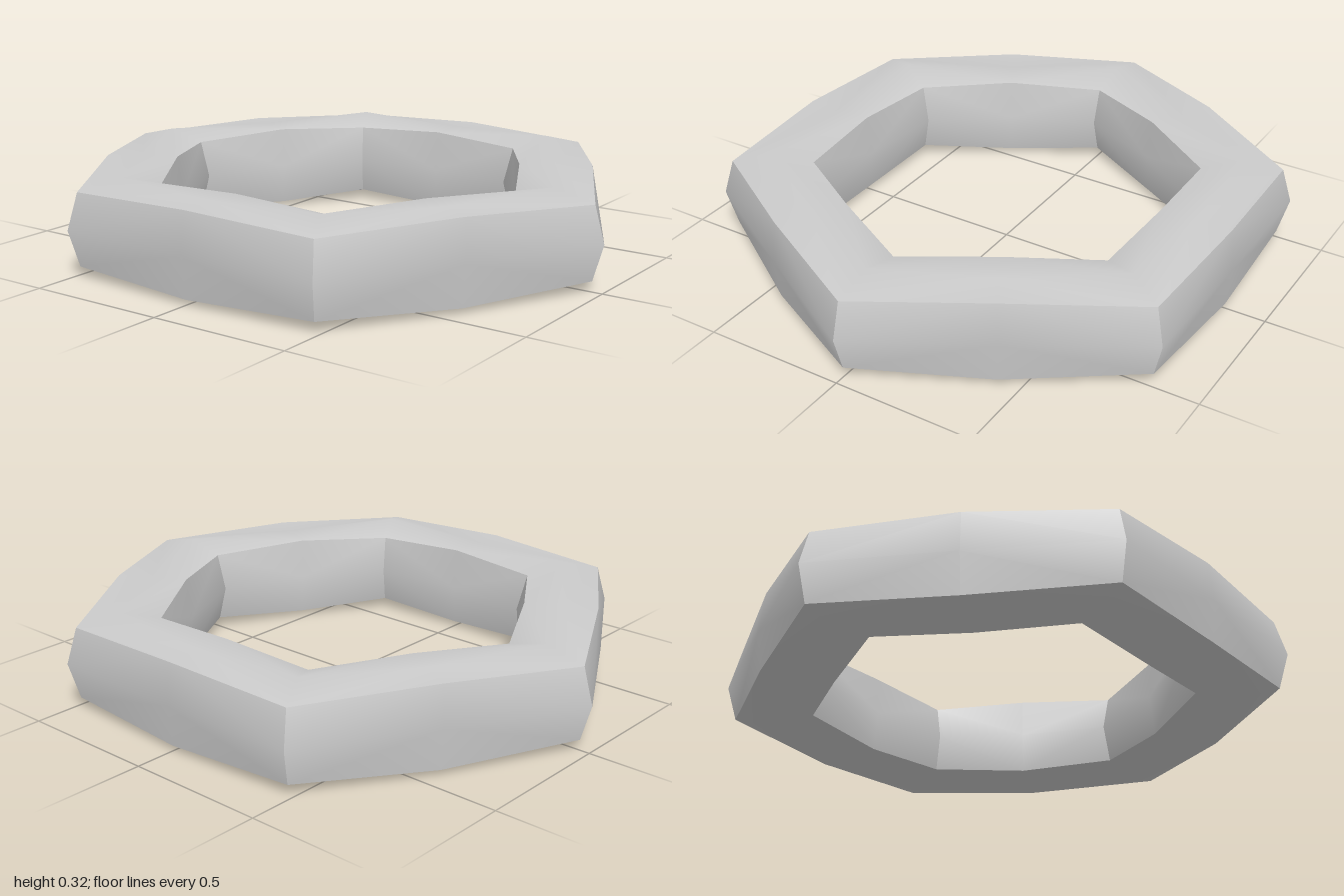
import * as THREE from 'three';
import { toCreasedNormals } from 'three/addons/utils/BufferGeometryUtils.js';

const MID_Y = 0.162;

// Eight-sided tube section as [radius, height], built from its flat and diagonal half sizes.
function section(centre, wide, tall, diagWide, diagTall) {
  return [
    [wide, 0], [diagWide, diagTall], [0, tall], [-diagWide, diagTall],
    [-wide, 0], [-diagWide, -diagTall], [0, -tall], [diagWide, -diagTall],
  ].map(([r, y]) => [centre + r, MID_Y + y]);
}

// The ring alternates between six corner sections and six mid-side sections.
function ringGeometry() {
  const corner = section(0.82, 0.18, 0.162, 0.143, 0.126);
  const midSide = section(0.73, 0.142, 0.146, 0.126, 0.144);
  const stations = 12, sides = 8;
  const positions = [], indices = [];
  for (let i = 0; i < stations; i++) {
    const a = (i / stations) * Math.PI * 2;
    for (const [r, y] of i % 2 ? midSide : corner) {
      positions.push(r * Math.cos(a), y, r * Math.sin(a));
    }
    for (let j = 0; j < sides; j++) {
      const next = ((i + 1) % stations) * sides, k = (j + 1) % sides;
      const p = i * sides + j, q = i * sides + k, r = next + j, s = next + k;
      // Mirror the diagonals on alternate spans so the corners stay symmetric.
      if (i % 2) indices.push(p, q, r, q, s, r);
      else indices.push(p, q, s, p, s, r);
    }
  }
  const geometry = new THREE.BufferGeometry();
  geometry.setAttribute('position', new THREE.Float32BufferAttribute(positions, 3));
  geometry.setIndex(indices);
  return toCreasedNormals(geometry, 0.78);
}

export function createModel() {
  const group = new THREE.Group();
  group.name = 'hexagonalRing';
  const ring = new THREE.Mesh(ringGeometry(), new THREE.MeshStandardMaterial({ color: 0xcccccc }));
  ring.name = 'ring';
  group.add(ring);
  return group;
}
